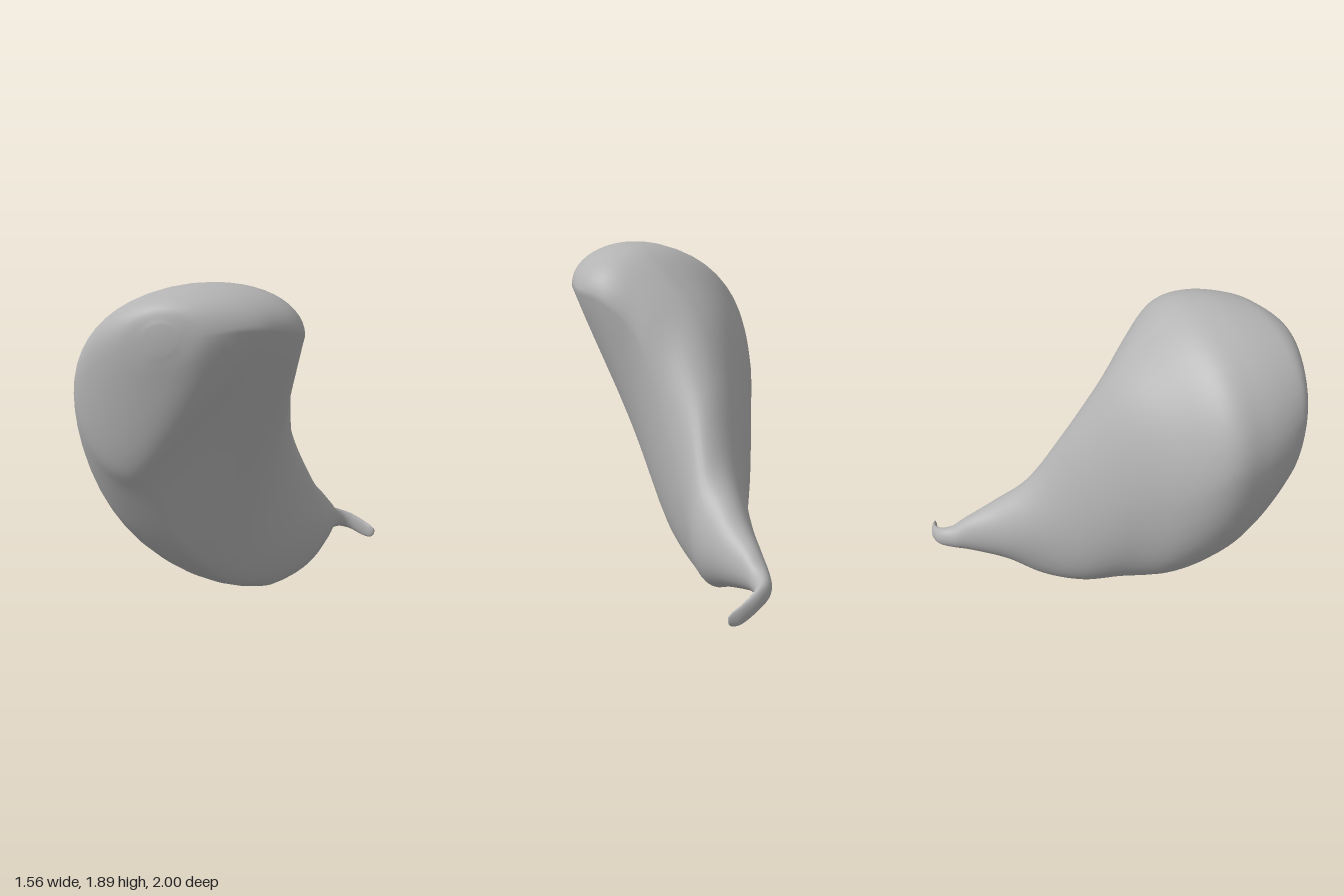
import * as THREE from 'three';

const SIDES = 48;
const STEPS = 110;

// Body sections, front to back:
// z, left x, right x, bottom y, top y, x of top, x of bottom, y of left, y of right, dent
const BODY = [
  [0.995, -0.28, -0.12, 1.54, 1.69, -0.2, -0.22, 1.62, 1.62, 0],
  [0.97, -0.44, 0.04, 1.38, 1.77, -0.18, -0.28, 1.56, 1.63, 0.1],
  [0.9, -0.64, 0.2, 0.98, 1.83, -0.14, -0.4, 1.42, 1.65, 0.25],
  [0.8, -0.72, 0.33, 0.78, 1.87, -0.08, -0.36, 1.32, 1.65, 0.32],
  [0.6, -0.77, 0.45, 0.43, 1.89, 0, -0.2, 1.24, 1.62, 0.34],
  [0.4, -0.77, 0.44, 0.24, 1.85, 0.05, -0.08, 1.2, 1.58, 0.28],
  [0.2, -0.64, 0.35, 0.12, 1.7, 0.05, 0.02, 1.0, 1.38, 0.12],
  [0, -0.42, 0.33, 0.05, 1.48, 0.02, 0.1, 0.85, 0.9, 0],
  [-0.2, -0.2, 0.38, 0, 1.14, 0.1, 0.16, 0.6, 0.55, 0],
  [-0.4, 0.04, 0.48, 0.02, 0.74, 0.25, 0.25, 0.4, 0.37, 0],
  [-0.6, 0.21, 0.52, 0.12, 0.55, 0.37, 0.37, 0.33, 0.33, 0],
  [-0.8, 0.355, 0.53, 0.185, 0.42, 0.44, 0.44, 0.3, 0.3, 0],
];

// Hooked duct sections: outer x, outer z, inner x, inner z, bottom y, top y
const DUCT = [
  [0.42, -0.9, 0.54, -0.87, 0.2, 0.355],
  [0.5, -0.98, 0.57, -0.925, 0.2, 0.32],
  [0.6, -1, 0.62, -0.95, 0.18, 0.29],
  [0.7, -0.98, 0.7, -0.947, 0.14, 0.245],
  [0.755, -0.957, 0.75, -0.935, 0.135, 0.215],
  [0.78, -0.945, 0.775, -0.935, 0.155, 0.195],
];

const angles = Array.from({ length: SIDES }, (_, j) => (j / SIDES) * Math.PI * 2);

// Four quarter-ellipses through the extreme points, hollowed at lower right
function bodyRing([z, x0, x1, y0, y1, xT, xB, yL, yR, dent]) {
  return angles.map((a) => {
    const c = Math.cos(a), s = Math.sin(a);
    const midX = s > 0 ? xT : xB;
    const midY = c > 0 ? yR : yL;
    let x = midX + c * (c > 0 ? x1 - midX : midX - x0);
    const y = midY + s * (s > 0 ? y1 - midY : midY - y0);
    if (c > 0 && s < 0) x += 2 * c * s * dent * (x1 - xB);
    return new THREE.Vector3(x, y, z);
  });
}

function ductRing([ox, oz, ix, iz, y0, y1]) {
  return angles.map((a) => {
    const t = (1 + Math.cos(a)) / 2;
    return new THREE.Vector3(ox + (ix - ox) * t, (y0 + y1) / 2 + (Math.sin(a) * (y1 - y0)) / 2, oz + (iz - oz) * t);
  });
}

// Smooth skin through all rings, closed at both ends
function loft(rings) {
  const curves = angles.map((_, j) => new THREE.CatmullRomCurve3(rings.map((r) => r[j]), false, 'catmullrom', 0.5));
  const pos = [], index = [];
  for (let i = 0; i <= STEPS; i++) {
    for (const curve of curves) pos.push(...curve.getPoint(i / STEPS).toArray());
  }
  for (let i = 0; i < STEPS; i++) {
    for (let j = 0; j < SIDES; j++) {
      const k = (j + 1) % SIDES;
      const a = i * SIDES + j, b = i * SIDES + k;
      index.push(a, a + SIDES, b, b, a + SIDES, b + SIDES);
    }
  }
  const centre = (ring) => ring.reduce((sum, p) => sum.add(p), new THREE.Vector3()).divideScalar(SIDES);
  const front = pos.length / 3, last = STEPS * SIDES;
  const tip = centre(rings[0]);
  tip.z += 0.005;
  pos.push(...tip.toArray(), ...centre(rings[rings.length - 1]).toArray());
  for (let j = 0; j < SIDES; j++) {
    const k = (j + 1) % SIDES;
    index.push(front, j, k, front + 1, last + k, last + j);
  }
  const geo = new THREE.BufferGeometry();
  geo.setAttribute('position', new THREE.Float32BufferAttribute(pos, 3));
  geo.setIndex(index);
  geo.computeVertexNormals();
  return geo;
}

export function createModel() {
  const grey = new THREE.MeshStandardMaterial({ color: 0xb3b3b3 });
  grey.name = 'grey';
  const sac = new THREE.Mesh(loft([...BODY.map(bodyRing), ...DUCT.map(ductRing)]), grey);
  sac.name = 'sacWithDuct';
  const group = new THREE.Group();
  group.name = 'pouch';
  group.add(sac);
  return group;
}
